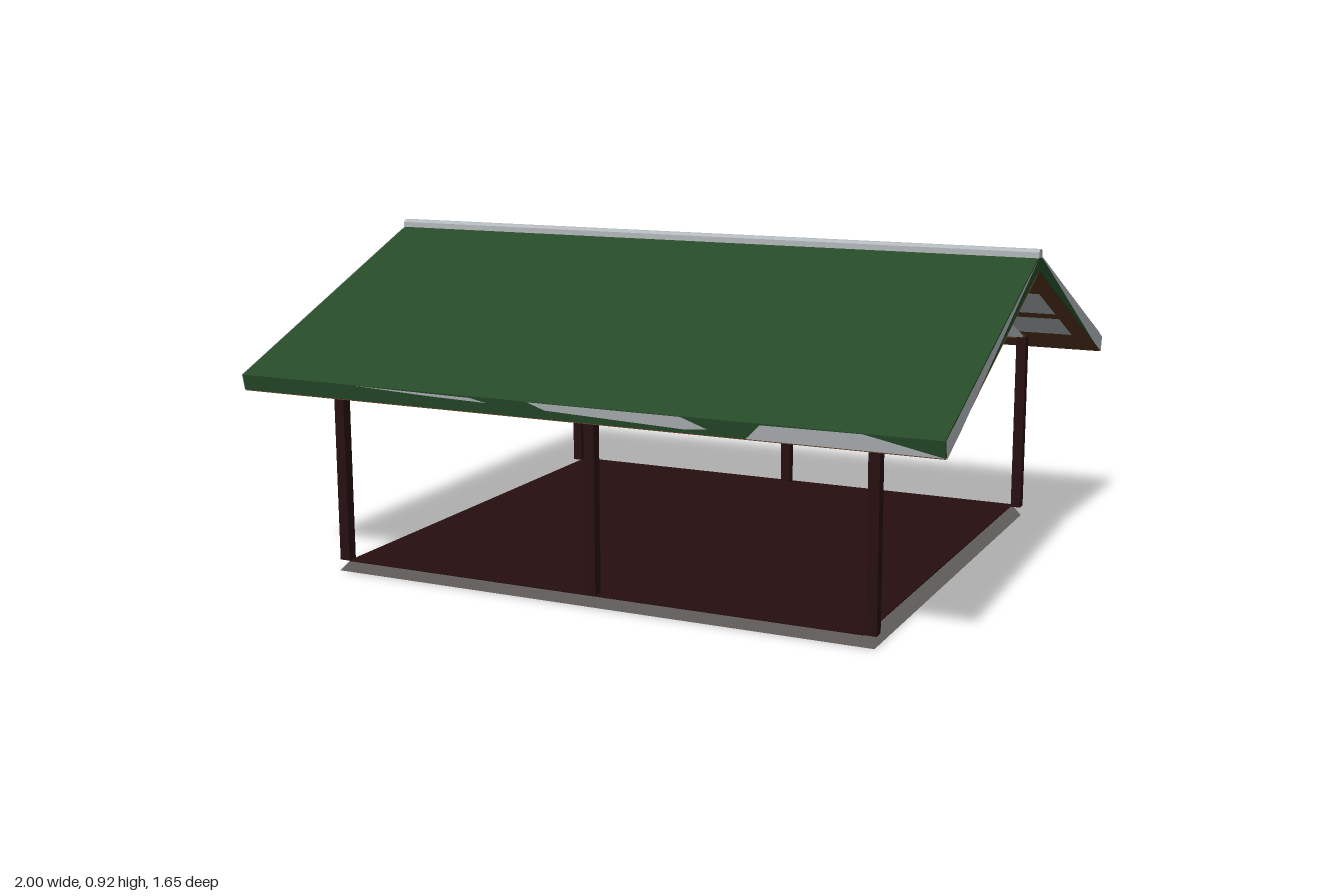
import * as THREE from 'three';

const mat = (name, color, side = THREE.FrontSide) => {
  const m = new THREE.MeshStandardMaterial({ color, side });
  m.name = name;
  return m;
};

export function createModel() {
  const model = new THREE.Group();
  model.name = 'pavilion';
  const green = mat('roof green', 0x264a28);
  const grey = mat('light grey', 0xb2b7bb, THREE.DoubleSide);
  const brown = mat('timber brown', 0x573621, THREE.DoubleSide);
  const maroon = mat('dark maroon', 0x270e10);
  const concrete = mat('concrete grey', 0x6a6764);

  const add = (parent, name, geometry, material) => {
    const mesh = new THREE.Mesh(geometry, material);
    mesh.name = name;
    parent.add(mesh);
    return mesh;
  };

  // Outline in (z, y), extruded along x and centred on cx
  const section = (parent, name, pts, width, cx, material) => {
    const shape = new THREE.Shape(pts.map(p => new THREE.Vector2(...p)));
    const g = new THREE.ExtrudeGeometry(shape, { depth: width, bevelEnabled: false });
    g.rotateY(-Math.PI / 2).translate(cx + width / 2, 0, 0);
    return add(parent, name, g, material);
  };

  // Flat convex face from corner points
  const face = (parent, name, pts, material) => {
    const g = new THREE.BufferGeometry().setFromPoints(pts.map(p => new THREE.Vector3(...p)));
    const index = [];
    for (let i = 1; i < pts.length - 1; i++) index.push(0, i, i + 1);
    g.setIndex(index);
    const flat = g.toNonIndexed();
    flat.computeVertexNormals();
    return add(parent, name, flat, material);
  };

  // Floor slab: ends slope inward in x, front and back are upright
  const base = new THREE.Shape([[-0.79, 0], [0.795, 0], [0.768, 0.03], [-0.758, 0.03]]
    .map(p => new THREE.Vector2(...p)));
  const slab = new THREE.ExtrudeGeometry(base, { depth: 1.39, bevelEnabled: false });
  add(model, 'floorSlab', slab.translate(0, 0, -0.695), concrete);
  add(model, 'floorSurface', new THREE.BoxGeometry(1.526, 0.004, 1.386).translate(0.005, 0.031, 0), maroon);

  // Six posts and the two wall plates on top of them
  for (const z of [-0.68, 0.68]) {
    for (const x of [-0.772, 0.008, 0.785])
      add(model, 'post', new THREE.BoxGeometry(0.03, 0.54, 0.03).translate(x, 0.302, z), maroon);
    add(model, 'wallPlate', new THREE.BoxGeometry(1.58, 0.012, 0.03).translate(0.005, 0.573, z), brown);
  }

  // One roof slope; the other is the same turned half round
  const topY = z => 0.905 - 0.4146 * z;
  const underY = z => 0.86 - 0.42 * z;
  const makeSlope = () => {
    const slope = new THREE.Group();
    slope.name = 'roofSlope';
    section(slope, 'roofSheet', [[0, 0.864], [0.811, 0.522], [0.82, 0.565], [0, 0.905]], 1.994, 0, green);
    // Ceiling with its bare middle band
    const ceiling = (name, x, z0, z1, drop, m) => face(slope, name,
      [[-x, underY(z0) - drop, z0], [x, underY(z0) - drop, z0],
        [x, underY(z1) - drop, z1], [-x, underY(z1) - drop, z1]], m);
    ceiling('ceiling', 0.997, 0, 0.81, 0, brown);
    ceiling('ceilingPanel', 0.95, 0.2, 0.4, 0.004, grey);
    ceiling('ceilingPanel', 0.95, 0.45, 0.62, 0.004, grey);
    // Tapering trim on the gable edges
    for (const x of [-0.9995, 0.9995])
      face(slope, 'gableTrim', [[x, 0.905, 0], [x, 0.565, 0.82], [x, 0.52, 0.81], [x, 0.567, 0.7]], grey);
    // Bare patches along the eave
    const eave = (pts) => face(slope, 'eavePatch',
      pts.map(([x, y]) => [x, y, 0.823 - (0.565 - y) * 0.2]), grey);
    eave([[-0.63, 0.564], [-0.27, 0.561], [-0.22, 0.551], [-0.4, 0.555]]);
    eave([[-0.1, 0.564], [0.33, 0.564], [0.4, 0.538], [0.34, 0.532], [-0.05, 0.546]]);
    eave([[0.5, 0.523], [0.997, 0.523], [0.8, 0.564], [0.54, 0.562]]);
    return slope;
  };
  const front = makeSlope();
  const back = makeSlope();
  back.rotation.y = Math.PI;
  model.add(front, back);

  // Bare strip and edge wedge on the rear slope
  const rear = (name, pts) => face(model, name, pts.map(([x, z]) => [x, topY(z) + 0.003, -z]), grey);
  rear('roofStrip', [[0.8, 0.01], [0.9, 0.01], [0.9, 0.818], [0.8, 0.818]]);
  rear('roofEdgeWedge', [[0.998, 0.02], [0.998, 0.8], [0.945, 0.41]]);

  // Ridge cap
  section(model, 'ridgeCap', [[-0.018, 0.897], [0.018, 0.897], [0.018, 0.913],
    [0.008, 0.92], [-0.008, 0.92], [-0.018, 0.913]], 2, 0, grey);

  // Gable panels with a shallow arched trim
  for (const x of [-0.77, 0.78]) {
    section(model, 'gablePanel', [[0, 0.857], [-0.51, 0.645], [-0.45, 0.623], [-0.05, 0.69],
      [0.05, 0.69], [0.45, 0.623], [0.51, 0.645]], 0.012, x, brown);
    section(model, 'gableArch', [[-0.68, 0.568], [-0.03, 0.675], [0.03, 0.675], [0.68, 0.568],
      [0.66, 0.58], [0.5, 0.642], [0.43, 0.626], [0.04, 0.692], [-0.04, 0.692],
      [-0.43, 0.626], [-0.5, 0.642], [-0.66, 0.58]], 0.018, x, grey);
  }
  return model;
}
